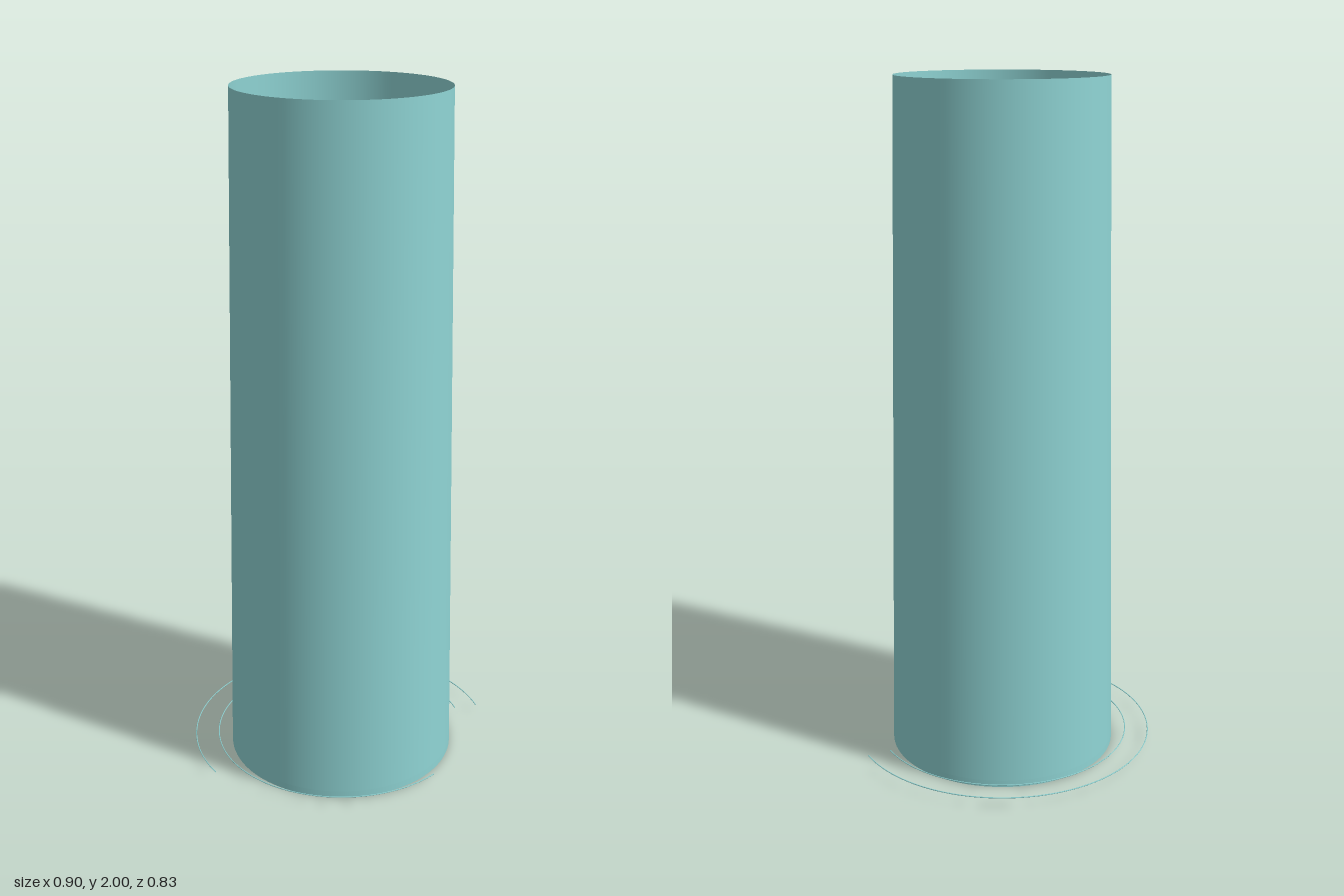
import * as THREE from 'three';

const Z = 0.033; // centre line of the beam

function mat(name, color, side = THREE.FrontSide) {
  const m = new THREE.MeshStandardMaterial({ color, side });
  m.name = name;
  return m;
}

export function createModel() {
  const beamMat = mat('pale cyan', 0x8fd4d4, THREE.DoubleSide);
  const bodyMat = mat('deep teal', 0x5f9696);
  const eyeMat = mat('eye glow', 0xd4f2ee);

  const model = new THREE.Group();
  model.name = 'projectedFigure';

  function add(parent, name, geo, m, x = 0, y = 0, z = 0) {
    const mesh = new THREE.Mesh(geo, m);
    mesh.name = name;
    mesh.position.set(x, y, z);
    parent.add(mesh);
    return mesh;
  }
  function ball(parent, name, p, r, m = bodyMat) {
    const mesh = add(parent, name, new THREE.SphereGeometry(1, 24, 16), m, ...p);
    mesh.scale.set(...r);
    return mesh;
  }
  // Tapered limb between two points
  function limb(parent, name, a, b, ra, rb) {
    const A = new THREE.Vector3(...a), B = new THREE.Vector3(...b);
    const d = B.clone().sub(A);
    const mesh = add(parent, name, new THREE.CylinderGeometry(rb, ra, d.length(), 20), bodyMat);
    mesh.position.copy(A).add(B).multiplyScalar(0.5);
    mesh.quaternion.setFromUnitVectors(new THREE.Vector3(0, 1, 0), d.normalize());
    return mesh;
  }

  // Projector base and open light beam
  add(model, 'base', new THREE.CylinderGeometry(0.338, 0.338, 0.02, 96), beamMat, 0, 0.01, Z);
  add(model, 'beam', new THREE.CylinderGeometry(0.3, 0.338, 1.98, 96, 1, true), beamMat, 0, 1.01, Z);

  // Thin floor rings: radius, sweep in degrees, height
  for (const [r, sweep, y] of [[0.45, 198, 0.03], [0.38, 300, 0.03], [0.259, 246, 0.028], [0.211, 360, 0.026]]) {
    const geo = new THREE.TorusGeometry(r, 0.0016, 6, 120, THREE.MathUtils.degToRad(sweep));
    geo.rotateX(-Math.PI / 2);
    add(model, 'ring', geo, beamMat, 0, y, Z);
  }

  // Dial marks round the floor
  const marks = new THREE.Group();
  marks.name = 'dialMarks';
  model.add(marks);
  const markGeo = new THREE.BoxGeometry(0.012, 0.004, 0.002);
  for (let i = 0; i < 72; i++) {
    const a = (i / 72) * Math.PI * 2;
    const mark = add(marks, 'dialMark', markGeo, bodyMat, Math.cos(a) * 0.288, 0.022, Z - Math.sin(a) * 0.288);
    mark.rotation.y = a;
  }

  // Standing figure
  const figure = new THREE.Group();
  figure.name = 'figure';
  model.add(figure);
  ball(figure, 'pelvis', [0, 0.55, 0.025], [0.085, 0.07, 0.06]);
  ball(figure, 'waist', [0, 0.65, 0.025], [0.078, 0.1, 0.055]);
  ball(figure, 'chest', [0, 0.78, 0.025], [0.11, 0.11, 0.065]);
  limb(figure, 'neck', [0, 0.84, 0.02], [0, 0.95, 0.03], 0.042, 0.034);
  ball(figure, 'head', [0, 0.99, 0.032], [0.05, 0.075, 0.064]);
  const nose = add(figure, 'nose', new THREE.ConeGeometry(0.012, 0.03, 12), bodyMat, 0, 0.98, 0.096);
  nose.rotation.x = 1.2;
  const belt = add(figure, 'belt', new THREE.TorusGeometry(0.08, 0.01, 8, 40), bodyMat, 0, 0.59, 0.025);
  belt.rotation.x = Math.PI / 2;
  belt.scale.y = 0.75;

  for (const s of [-1, 1]) {
    const side = new THREE.Group();
    side.name = s > 0 ? 'leftSide' : 'rightSide';
    figure.add(side);
    ball(side, 'eye', [s * 0.023, 0.995, 0.086], [0.009, 0.007, 0.008], eyeMat);
    ball(side, 'pectoral', [s * 0.05, 0.8, 0.065], [0.056, 0.045, 0.035]);
    ball(side, 'shoulderBlade', [s * 0.055, 0.79, -0.015], [0.05, 0.075, 0.037]);
    limb(side, 'collar', [s * 0.02, 0.885, 0.022], [s * 0.13, 0.85, 0.03], 0.034, 0.036);
    // Arm with banded cuff
    ball(side, 'shoulder', [s * 0.13, 0.84, 0.03], [0.042, 0.05, 0.041]);
    limb(side, 'upperArm', [s * 0.135, 0.83, 0.03], [s * 0.168, 0.68, 0.03], 0.036, 0.028);
    ball(side, 'elbow', [s * 0.168, 0.68, 0.03], [0.029, 0.03, 0.029]);
    limb(side, 'forearm', [s * 0.168, 0.68, 0.03], [s * 0.19, 0.54, 0.042], 0.028, 0.018);
    for (let i = 0; i < 4; i++) {
      const t = 0.35 + i * 0.16;
      const cuff = add(side, 'cuffBand', new THREE.TorusGeometry(0.026 - t * 0.008, 0.004, 8, 24), bodyMat,
        s * (0.168 + 0.022 * t), 0.68 - 0.14 * t, 0.03 + 0.012 * t);
      cuff.rotation.x = Math.PI / 2;
    }
    ball(side, 'hand', [s * 0.195, 0.5, 0.055], [0.014, 0.045, 0.028]);
    ball(side, 'thumb', [s * 0.188, 0.515, 0.077], [0.009, 0.026, 0.01]);
    // Leg and boot
    ball(side, 'hip', [s * 0.047, 0.53, 0.005], [0.048, 0.06, 0.052]);
    limb(side, 'thigh', [s * 0.047, 0.54, 0.025], [s * 0.063, 0.3, 0.035], 0.05, 0.035);
    ball(side, 'knee', [s * 0.063, 0.3, 0.036], [0.036, 0.04, 0.036]);
    limb(side, 'shin', [s * 0.063, 0.3, 0.034], [s * 0.073, 0.06, 0.02], 0.035, 0.025);
    ball(side, 'calf', [s * 0.066, 0.22, 0.015], [0.034, 0.07, 0.032]);
    ball(side, 'heel', [s * 0.074, 0.047, 0.02], [0.027, 0.027, 0.032]);
    limb(side, 'foot', [s * 0.074, 0.046, 0.02], [s * 0.078, 0.044, 0.11], 0.024, 0.024);
    ball(side, 'toe', [s * 0.078, 0.044, 0.11], [0.026, 0.024, 0.026]);
  }
  return model;
}
